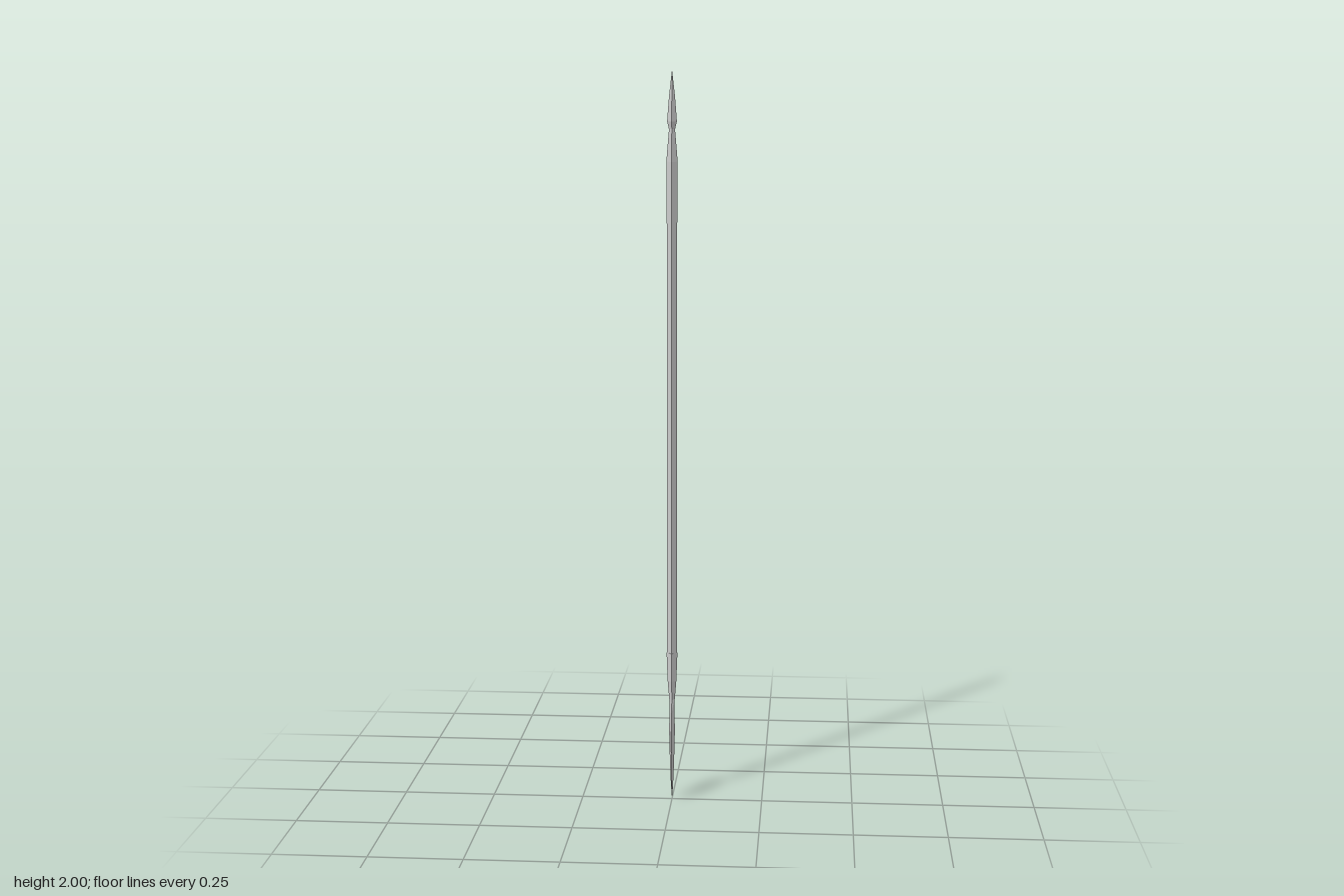
import * as THREE from 'three';

// Lofts four-sided diamond sections [y, halfX, halfZ], listed from bottom to top
function diamondLoft(name, sections, material) {
  const pos = [];
  const ring = ([y, x, z]) => [[x, y, 0], [0, y, z], [-x, y, 0], [0, y, -z]];
  const tri = (a, b, c) => pos.push(...a, ...b, ...c);
  for (let i = 0; i < sections.length - 1; i++) {
    const lo = ring(sections[i]), hi = ring(sections[i + 1]);
    for (let k = 0; k < 4; k++) {
      const n = (k + 1) % 4;
      if (sections[i][2] > 0) tri(lo[k], hi[k], lo[n]);
      if (sections[i + 1][2] > 0) tri(hi[k], hi[n], lo[n]);
    }
  }
  // End caps
  const bottom = ring(sections[0]), top = ring(sections[sections.length - 1]);
  if (sections[0][2] > 0) {
    tri(bottom[0], bottom[1], bottom[2]);
    tri(bottom[0], bottom[2], bottom[3]);
  }
  if (sections[sections.length - 1][2] > 0) {
    tri(top[0], top[2], top[1]);
    tri(top[0], top[3], top[2]);
  }
  // Wind every triangle outward
  for (let i = 0; i < pos.length; i += 9) {
    for (let j = 0; j < 3; j++) {
      const t = pos[i + 3 + j];
      pos[i + 3 + j] = pos[i + 6 + j];
      pos[i + 6 + j] = t;
    }
  }
  const geometry = new THREE.BufferGeometry();
  geometry.setAttribute('position', new THREE.Float32BufferAttribute(pos, 3));
  geometry.computeVertexNormals();
  const mesh = new THREE.Mesh(geometry, material);
  mesh.name = name;
  return mesh;
}

export function createModel() {
  const material = new THREE.MeshStandardMaterial({
    color: 0xcccccc, flatShading: true, side: THREE.DoubleSide,
  });
  const group = new THREE.Group();
  group.name = 'spear';

  group.add(
    // Leaf-shaped blade, pointing down, broad in z and thin in x
    diamondLoft('blade', [
      [0, 0, 0], [0.04, 0.003, 0.010], [0.09, 0.005, 0.021], [0.15, 0.007, 0.029],
      [0.20, 0.008, 0.029], [0.25, 0.007, 0.015], [0.29, 0.007, 0.007],
    ], material),
    // Tapered socket joining blade and shaft
    diamondLoft('bladeSocket', [
      [0.28, 0.007, 0.007], [0.34, 0.012, 0.012], [0.42, 0.015, 0.015],
    ], material),
    diamondLoft('shaft', [[0.41, 0.014, 0.014], [1.77, 0.014, 0.014]], material),
    // Tapered collar and pointed butt spike at the upper end
    diamondLoft('spikeSocket', [
      [1.76, 0.015, 0.015], [1.81, 0.011, 0.011], [1.845, 0.008, 0.008],
    ], material),
    diamondLoft('buttSpike', [
      [1.845, 0.008, 0.008], [1.865, 0.013, 0.013], [1.93, 0.008, 0.008], [2, 0, 0],
    ], material),
  );
  return group;
}
